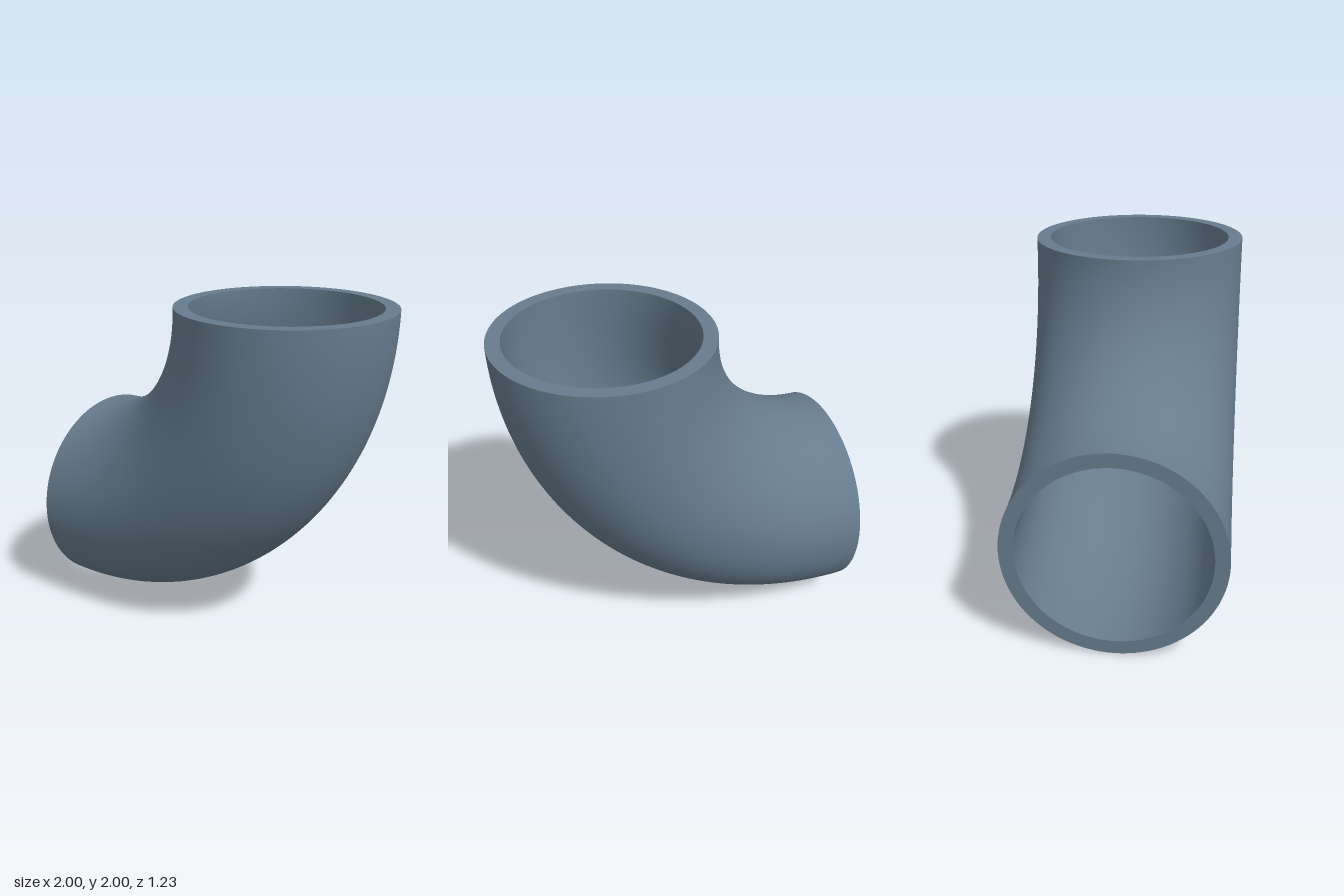
import * as THREE from 'three';

const BEND = 1.387;   // radius of the pipe's centre line
const OUTER = 0.613;  // outside radius of the pipe
const BORE = 0.532;   // inside radius of the pipe
const SIDES = 96;

// Quarter bend from the side opening (-x) round to the top opening (+y)
function quarterBend(radius) {
  const g = new THREE.TorusGeometry(BEND, radius, SIDES, 64, Math.PI / 2);
  return g.rotateZ(-Math.PI / 2).translate(-1, 2, 0);
}

// Turn a surface inside out
function flip(g) {
  const index = g.index.array;
  for (let i = 0; i < index.length; i += 3) {
    [index[i], index[i + 1]] = [index[i + 1], index[i]];
  }
  g.attributes.normal.applyMatrix4(new THREE.Matrix4().makeScale(-1, -1, -1));
  return g;
}

export function createModel() {
  const group = new THREE.Group();
  group.name = 'pipeElbow';
  const material = new THREE.MeshStandardMaterial({ color: 0x667c8e });

  const add = (name, geometry) => {
    const mesh = new THREE.Mesh(geometry, material);
    mesh.name = name;
    group.add(mesh);
  };

  // Pipe wall
  add('outerWall', quarterBend(OUTER));
  add('innerWall', flip(quarterBend(BORE)));

  // Flat rims closing the wall at both openings
  const rim = () => new THREE.RingGeometry(BORE, OUTER, SIDES);
  add('topRim', rim().rotateX(-Math.PI / 2).translate(BEND - 1, 2, 0));
  add('sideRim', rim().rotateY(-Math.PI / 2).translate(-1, 2 - BEND, 0));

  return group;
}
